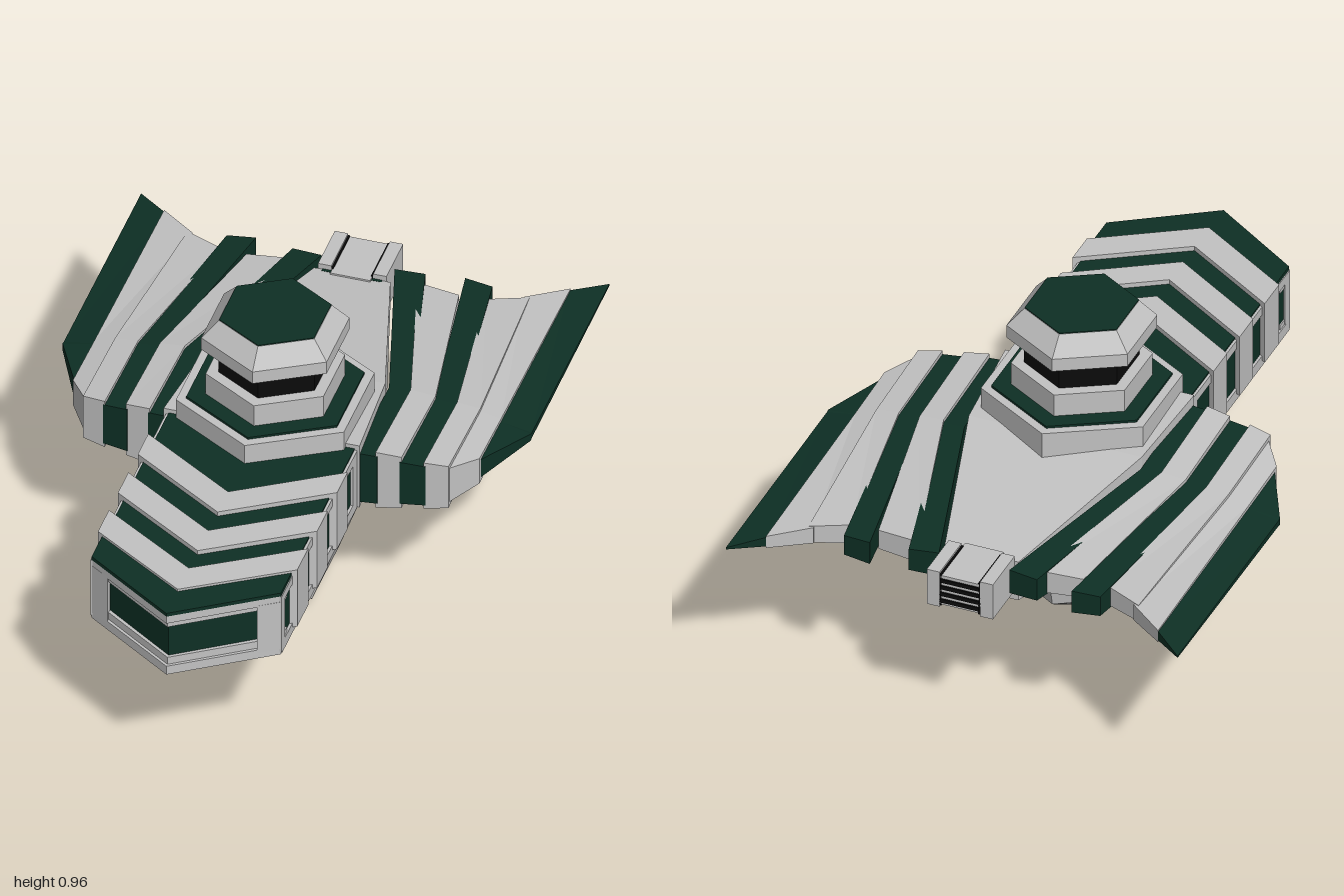
import * as THREE from 'three';

const mat = (name, color) => {
  const m = new THREE.MeshStandardMaterial({ color });
  m.name = name;
  return m;
};

export function createModel() {
  const grey = mat('light grey', 0xc2c2c2);
  const green = mat('dark green', 0x0e3025);
  const black = mat('black', 0x0b0b0b);
  const ship = new THREE.Group();
  ship.name = 'starship';

  const add = (name, geo, material, flat = true) => {
    if (flat) {
      if (geo.index) geo = geo.toNonIndexed();
      geo.computeVertexNormals();
    }
    const mesh = new THREE.Mesh(geo, material);
    mesh.name = name;
    ship.add(mesh);
    return mesh;
  };

  // Closed solid through a list of equal-length rings, turned outward by its signed volume
  const loft = (rings) => {
    const tris = [];
    const n = rings[0].length;
    for (let k = 0; k + 1 < rings.length; k++) {
      for (let i = 0; i < n; i++) {
        const j = (i + 1) % n, a = rings[k], b = rings[k + 1];
        tris.push([a[i], a[j], b[j]], [a[i], b[j], b[i]]);
      }
    }
    const first = rings[0], last = rings[rings.length - 1];
    for (let i = 1; i + 1 < n; i++) {
      tris.push([first[0], first[i + 1], first[i]], [last[0], last[i], last[i + 1]]);
    }
    const v = (p) => new THREE.Vector3(...p);
    const volume = tris.reduce((s, [a, b, c]) => s + v(a).dot(v(b).cross(v(c))), 0);
    const pos = tris.flatMap((t) => (volume < 0 ? [t[0], t[2], t[1]] : t)).flat();
    const geo = new THREE.BufferGeometry();
    geo.setAttribute('position', new THREE.Float32BufferAttribute(pos, 3));
    return geo;
  };

  // Plan outline in x, z raised from y0 to y1
  const slab = (pts, y0, y1) => {
    const shape = new THREE.Shape(pts.map(([x, z]) => new THREE.Vector2(x, -z)));
    const geo = new THREE.ExtrudeGeometry(shape, { depth: y1 - y0, bevelEnabled: false });
    return geo.rotateX(-Math.PI / 2).translate(0, y0, 0);
  };
  const chevron = (z0, z1, w, y0, y1, d = 0.19) =>
    slab([[-w, z0], [0, z0 + d], [w, z0], [w, z1], [0, z1 + d], [-w, z1]], y0, y1);
  const box = (name, m, w, h, d, x, y, z) =>
    add(name, new THREE.BoxGeometry(w, h, d).translate(x, y, z), m);

  // Forward neck with raised chevron ribs
  add('neckCore', slab([[-0.28, 0], [0.28, 0], [0.28, 0.782], [0, 0.972], [-0.28, 0.782]], 0.415, 0.625), green);
  add('noseLid', chevron(0.69, 0.803, 0.285, 0.62, 0.632), green);
  for (const [z0, z1] of [[0.215, 0.315], [0.405, 0.505], [0.59, 0.695]]) {
    add('neckRib', chevron(z0, z1, 0.3, 0.435, 0.64), grey);
  }

  // Nose frame, inner frame and side rails
  add('noseFrameTop', chevron(0.74, 0.803, 0.285, 0.595, 0.62), grey);
  add('noseFrameBottom', chevron(0.74, 0.803, 0.285, 0.41, 0.44), grey);
  add('noseInnerTop', chevron(0.74, 0.793, 0.284, 0.575, 0.597), grey);
  add('noseInnerBottom', chevron(0.74, 0.793, 0.284, 0.438, 0.465), grey);
  for (const s of [-1, 1]) {
    add('noseFrameEnd', slab([[s * 0.287, 0.77], [s * 0.287, 0.803], [s * 0.225, 0.843], [s * 0.225, 0.80]], 0.43, 0.6), grey);
    box('noseSidePost', grey, 0.012, 0.2, 0.03, s * 0.282, 0.52, 0.79);
    box('neckRailTop', grey, 0.012, 0.028, 0.72, s * 0.282, 0.606, 0.44);
    box('neckRailBottom', grey, 0.012, 0.035, 0.72, s * 0.282, 0.432, 0.44);
    box('neckRearPost', grey, 0.012, 0.2, 0.05, s * 0.282, 0.52, 0.1);
  }

  // Keel under the neck, with grey slats standing proud of it
  const keelY = (z) => 0.25 + 0.155 * Math.pow((z - 0.08) / 0.9, 1.6);
  const keelRing = (ze, zc, w, proud) =>
    [[-w, 0.418, ze], [w, 0.418, ze], [0, keelY(zc) - proud, zc]];
  add('keel', loft([[0.79, 0.975], [0.77, 0.78], [0.7, 0.6], [0.53, 0.41], [0.38, 0.26], [0.08, 0.08]]
    .map(([e, c]) => keelRing(e, c, 0.278, -0.008))), green);
  for (const zc of [0.785, 0.6, 0.41, 0.25]) {
    const e = Math.min(zc + 0.13, 0.71);
    add('keelSlat', loft([keelRing(e + 0.09, zc + 0.09, 0.284, 0), keelRing(e, zc, 0.284, 0.008)]), grey);
  }

  // Central hull and its belly
  const hullRing = (w, y0, y1, z) => [[-w, y0, z], [w, y0, z], [w, y1, z], [-w, y1, z]];
  add('centralHull', loft([
    hullRing(0.295, 0.415, 0.638, 0.085), hullRing(0.27, 0.42, 0.62, -0.24), hullRing(0.115, 0.47, 0.552, -0.78),
  ]), grey);
  add('belly', loft([
    hullRing(0.25, 0.4, 0.5, 0.07), hullRing(0.235, 0.35, 0.5, -0.24),
    hullRing(0.2, 0.347, 0.5, -0.34), hullRing(0.11, 0.412, 0.5, -0.77),
  ]), grey);

  // Wing strips: front x pair, front z pair, rear x pair, rear z pair, front and rear half heights
  const strips = [
    ['wingStripInner', green, [0.275, 0.345], [0.08, 0.075], [0.11, 0.2], [-0.835, -0.845], [0.088, 0.085], [0.04, 0.036]],
    ['wingRibInner', grey, [0.34, 0.415], [0.075, 0.065], [0.19, 0.32], [-0.8, -0.785], [0.1, 0.092], [0.036, 0.032]],
    ['wingStripOuter', green, [0.41, 0.485], [0.068, 0.06], [0.315, 0.4], [-0.86, -0.85], [0.075, 0.07], [0.037, 0.033]],
    ['wingRibOuter', grey, [0.48, 0.55], [0.06, 0.045], [0.4, 0.515], [-0.79, -0.84], [0.083, 0.075], [0.032, 0.028]],
    ['wingShoulder', grey, [0.545, 0.612], [0.04, -0.055], [0.5, 0.612], [-0.84, -0.925], [0.062, 0.045], [0.027, 0.02]],
    ['wingBlade', green, [0.608, 0.705], [-0.06, -0.25], [0.608, 0.705], [-0.92, -1], [0.033, 0.012], [0.016, 0.003]],
  ];
  const stripRing = (s, x, z, h) => [
    [s * x[0], 0.518 - h[0], z[0]], [s * x[1], 0.518 - h[1], z[1]],
    [s * x[1], 0.518 + h[1], z[1]], [s * x[0], 0.518 + h[0], z[0]],
  ];
  for (const s of [-1, 1]) {
    for (const [name, m, xf, zf, xr, zr, hf, hr] of strips) {
      const mid = hf.map((h, i) => h + (hr[i] - h) * 0.3);
      add(name, loft([stripRing(s, xf, zf, hf), stripRing(s, xf, [-0.26, -0.26], mid), stripRing(s, xr, zr, hr)]), m);
    }
  }

  // Rear engine with a louvred outlet
  box('engineCore', grey, 0.12, 0.1, 0.18, 0, 0.51, -0.85);
  box('engineOutlet', green, 0.18, 0.088, 0.165, 0, 0.51, -0.853);
  for (const s of [-1, 1]) {
    box('engineCheek', grey, 0.04, 0.12, 0.16, s * 0.083, 0.51, -0.86);
    box('engineSeam', black, 0.008, 0.108, 0.16, s * 0.061, 0.51, -0.86);
  }
  for (let i = 0; i < 4; i++) {
    box('engineLouvre', black, 0.12, 0.012, 0.006, 0, 0.475 + i * 0.023, -0.942);
  }

  // Hexagonal tower, stacked from the hull upward
  const tiers = [
    ['towerBase', grey, 0.292, 0.292, 0.6, 0.69],
    ['towerGreenDeck', green, 0.262, 0.262, 0.688, 0.697],
    ['towerDrum', grey, 0.205, 0.205, 0.69, 0.77],
    ['towerWindowBand', black, 0.167, 0.167, 0.765, 0.865],
    ['towerCapRim', grey, 0.218, 0.218, 0.86, 0.902],
    ['towerCapSlope', grey, 0.218, 0.166, 0.902, 0.957],
    ['towerRoof', green, 0.165, 0.165, 0.952, 0.96],
  ];
  for (const [name, m, r0, r1, y0, y1] of tiers) {
    add(name, new THREE.CylinderGeometry(r1, r0, y1 - y0, 6).translate(0, (y0 + y1) / 2, -0.046), m);
  }

  // Lower pod: flat front, straight sides, pointed back
  const podRing = (y, w, zf, zs, zb) => [[-w, y, zf], [w, y, zf], [w, y, zs], [0, y, zb], [-w, y, zs]];
  const waist = podRing(0.25, 0.223, 0.085, -0.17, -0.31);
  add('podCollar', loft([podRing(0.42, 0.252, 0.085, -0.18, -0.352), waist]), green);
  add('pod', loft([waist, podRing(0.05, 0.152, 0.085, -0.17, -0.262), podRing(0, 0.103, 0.03, -0.13, -0.185)]), grey);

  // Framed panel on the pod front
  const trapezoid = (T, w1, y1, w0, y0) =>
    new T([[-w0, y0], [w0, y0], [w1, y1], [-w1, y1]].map((p) => new THREE.Vector2(...p)));
  const frame = trapezoid(THREE.Shape, 0.2, 0.225, 0.132, 0.08);
  frame.holes.push(trapezoid(THREE.Path, 0.182, 0.213, 0.122, 0.091));
  add('podPanelFrame', new THREE.ExtrudeGeometry(frame, { depth: 0.012, bevelEnabled: false }).translate(0, 0, 0.084), grey);
  add('podPanel', new THREE.ExtrudeGeometry(trapezoid(THREE.Shape, 0.185, 0.215, 0.124, 0.09),
    { depth: 0.005, bevelEnabled: false }).translate(0, 0, 0.084), green);

  // Gun barrel: radius, start and end along z
  const barrel = [
    [0.04, 0.085, 0.16, green], [0.056, 0.09, 0.108, grey], [0.056, 0.118, 0.134, grey], [0.052, 0.142, 0.157, grey],
    [0.022, 0.15, 0.245, grey], [0.03, 0.168, 0.18, grey], [0.03, 0.19, 0.202, grey], [0.03, 0.21, 0.222, grey],
    [0.013, 0.24, 0.298, green], [0.018, 0.25, 0.26, grey], [0.018, 0.27, 0.28, grey], [0.018, 0.288, 0.296, grey],
  ];
  for (const [r, z0, z1, m] of barrel) {
    const geo = new THREE.CylinderGeometry(r, r, z1 - z0, 16).rotateX(Math.PI / 2).translate(0, 0.152, (z0 + z1) / 2);
    add('gunBarrel', geo, m, false);
  }

  return ship;
}
